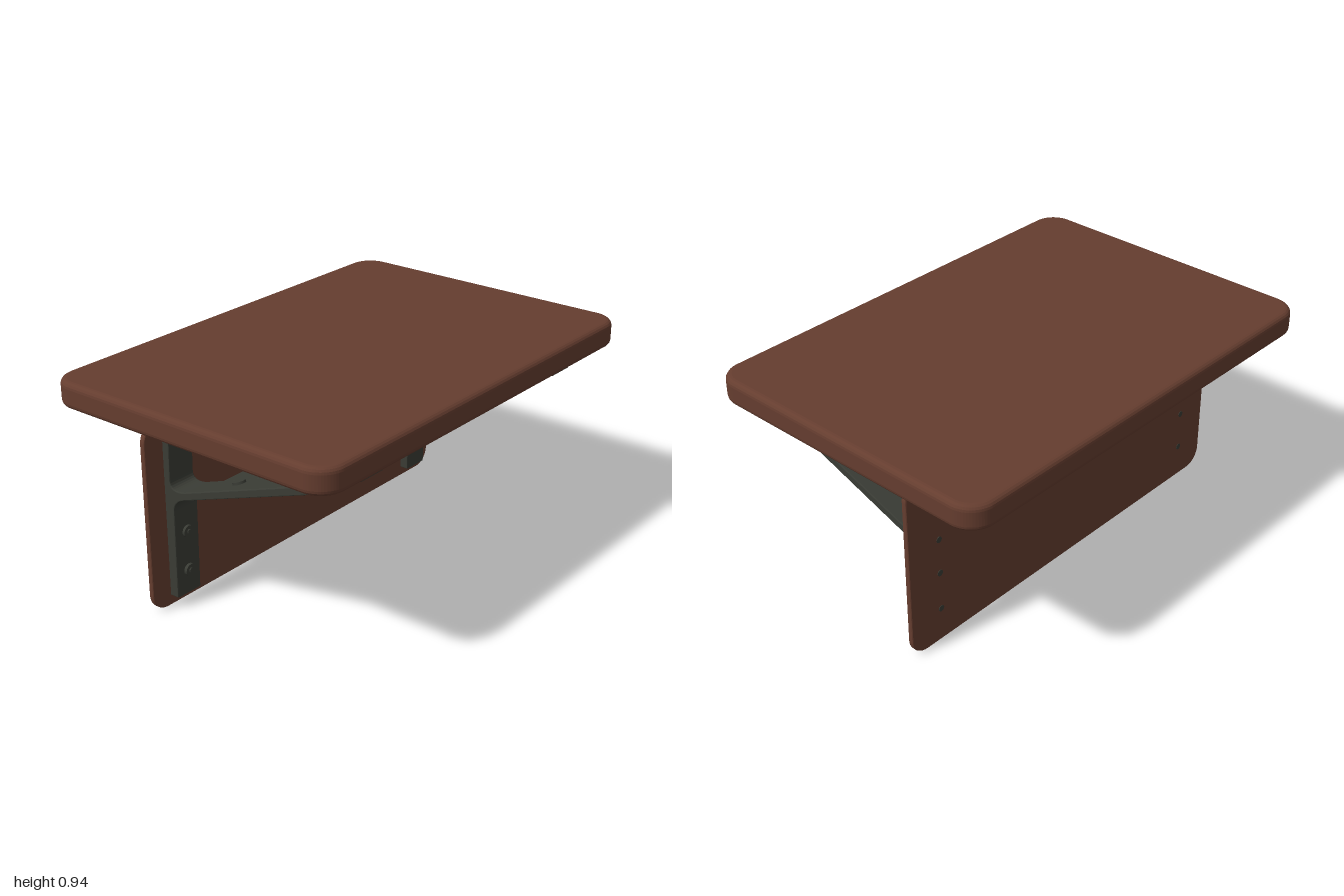
import * as THREE from 'three';

const wood = new THREE.MeshStandardMaterial({ color: 0x653d2f });
wood.name = 'brown wood';
const metal = new THREE.MeshStandardMaterial({ color: 0x3a3c35 });
metal.name = 'dark metal';

function add(parent, name, geometry, material, x = 0, y = 0, z = 0) {
  const mesh = new THREE.Mesh(geometry, material);
  mesh.name = name;
  mesh.position.set(x, y, z);
  parent.add(mesh);
  return mesh;
}

// Rounded-corner board, w by h in xy, centred on the origin, with eased edges
function board(w, h, depth, r, bevel) {
  const a = w / 2 - bevel, b = h / 2 - bevel, c = r - bevel;
  const s = new THREE.Shape();
  s.moveTo(-a + c, -b).lineTo(a - c, -b);
  s.absarc(a - c, -b + c, c, -Math.PI / 2, 0);
  s.absarc(a - c, b - c, c, 0, Math.PI / 2);
  s.absarc(-a + c, b - c, c, Math.PI / 2, Math.PI);
  s.absarc(-a + c, -b + c, c, Math.PI, Math.PI * 1.5);
  const g = new THREE.ExtrudeGeometry(s, {
    depth: depth - 2 * bevel, bevelEnabled: true, bevelSize: bevel,
    bevelThickness: bevel, bevelSegments: 4, curveSegments: 8,
  });
  return g.translate(0, 0, bevel - depth / 2);
}

// Extrude a (z, y) side profile between two x positions
function sideExtrude(shape, x0, x1, bevel = 0.004) {
  const g = new THREE.ExtrudeGeometry(shape, {
    depth: x1 - x0 - 2 * bevel, bevelEnabled: true, bevelSize: bevel,
    bevelThickness: bevel, bevelOffset: -bevel, bevelSegments: 2, curveSegments: 8,
  });
  return g.rotateY(-Math.PI / 2).translate(x1 - bevel, 0, 0);
}

// Upright and sloping strut in one profile, with curved joints
function bracketProfile() {
  const s = new THREE.Shape();
  s.moveTo(-0.257, 0.05).lineTo(-0.215, 0.05).lineTo(-0.211, 0.44);
  s.quadraticCurveTo(-0.21, 0.487, -0.15, 0.507);
  s.lineTo(0.5, 0.735).lineTo(0.57, 0.757).lineTo(0.622, 0.782);
  s.lineTo(0.62, 0.808).lineTo(0.58, 0.795).lineTo(0.5, 0.771).lineTo(-0.15, 0.541);
  s.quadraticCurveTo(-0.226, 0.52, -0.226, 0.57);
  s.lineTo(-0.22, 0.826).lineTo(-0.257, 0.826).closePath();
  return s;
}

// Wide part of the strut, beside the upright
function wingProfile() {
  const s = new THREE.Shape();
  s.moveTo(-0.055, 0.541).lineTo(0.5, 0.735).lineTo(0.57, 0.757).lineTo(0.618, 0.775);
  s.lineTo(0.616, 0.796).lineTo(0.5, 0.771).lineTo(-0.06, 0.572).closePath();
  return s;
}

// Flared block joining the strut to the table top
function footProfile() {
  const s = new THREE.Shape();
  s.moveTo(0.46, 0.75).lineTo(0.56, 0.785);
  s.quadraticCurveTo(0.555, 0.8, 0.57, 0.828);
  s.lineTo(0.48, 0.828).quadraticCurveTo(0.49, 0.79, 0.46, 0.765).closePath();
  return s;
}

// Round screw with a hex boss, axis along z
function screw(parent, name, x, y, z, depth) {
  const g = new THREE.Group();
  g.name = name;
  add(g, 'head', new THREE.CylinderGeometry(0.025, 0.027, depth, 20).rotateX(Math.PI / 2), metal);
  add(g, 'boss', new THREE.CylinderGeometry(0.011, 0.011, 0.006, 6).rotateX(Math.PI / 2),
    metal, 0, 0, depth / 2 + 0.002);
  g.position.set(x, y, z);
  parent.add(g);
}

function bracket(side) {
  const g = new THREE.Group();
  g.name = side > 0 ? 'leftBracket' : 'rightBracket';
  const span = (a, b) => (side > 0 ? [a, b] : [-b, -a]);
  add(g, 'uprightAndStrut', sideExtrude(bracketProfile(), ...span(0.705, 0.835)), metal);
  add(g, 'strutWing', sideExtrude(wingProfile(), ...span(0.58, 0.71)), metal);
  add(g, 'foot', sideExtrude(footProfile(), ...span(0.71, 0.85)), metal);

  // Screws on the upright
  for (const y of [0.155, 0.33]) screw(g, 'uprightScrew', side * 0.768, y, -0.209, 0.014);
  add(g, 'upperScrew', new THREE.CylinderGeometry(0.022, 0.022, 0.012, 16).rotateX(Math.PI / 2),
    metal, side * 0.768, 0.71, -0.219);

  // Bolts through the strut, square to its slope
  for (const z of [0.07, 0.33, 0.53]) {
    const y = 0.601 + (z - 0.07) * 0.352;
    const bolt = add(g, 'strutBolt', new THREE.CylinderGeometry(0.027, 0.027, 0.054, 16),
      metal, side * 0.75, y, z);
    bolt.rotation.x = -0.338;
  }

  // Fixings passing through the back panel
  for (const y of [0.155, 0.33, 0.49, 0.72]) {
    add(g, 'panelFixing', new THREE.CylinderGeometry(0.014, 0.014, 0.04, 12).rotateX(Math.PI / 2),
      metal, side * 0.765, y, -0.267);
  }
  return g;
}

export function createModel() {
  const model = new THREE.Group();
  model.name = 'wallTable';
  add(model, 'tableTop', board(2, 1.39, 0.112, 0.11, 0.025).rotateX(-Math.PI / 2), wood, 0, 0.881, 0);
  add(model, 'backPanel', board(1.85, 0.82, 0.024, 0.08, 0.006), wood, 0, 0.41, -0.273);
  model.add(bracket(1), bracket(-1));
  return model;
}
